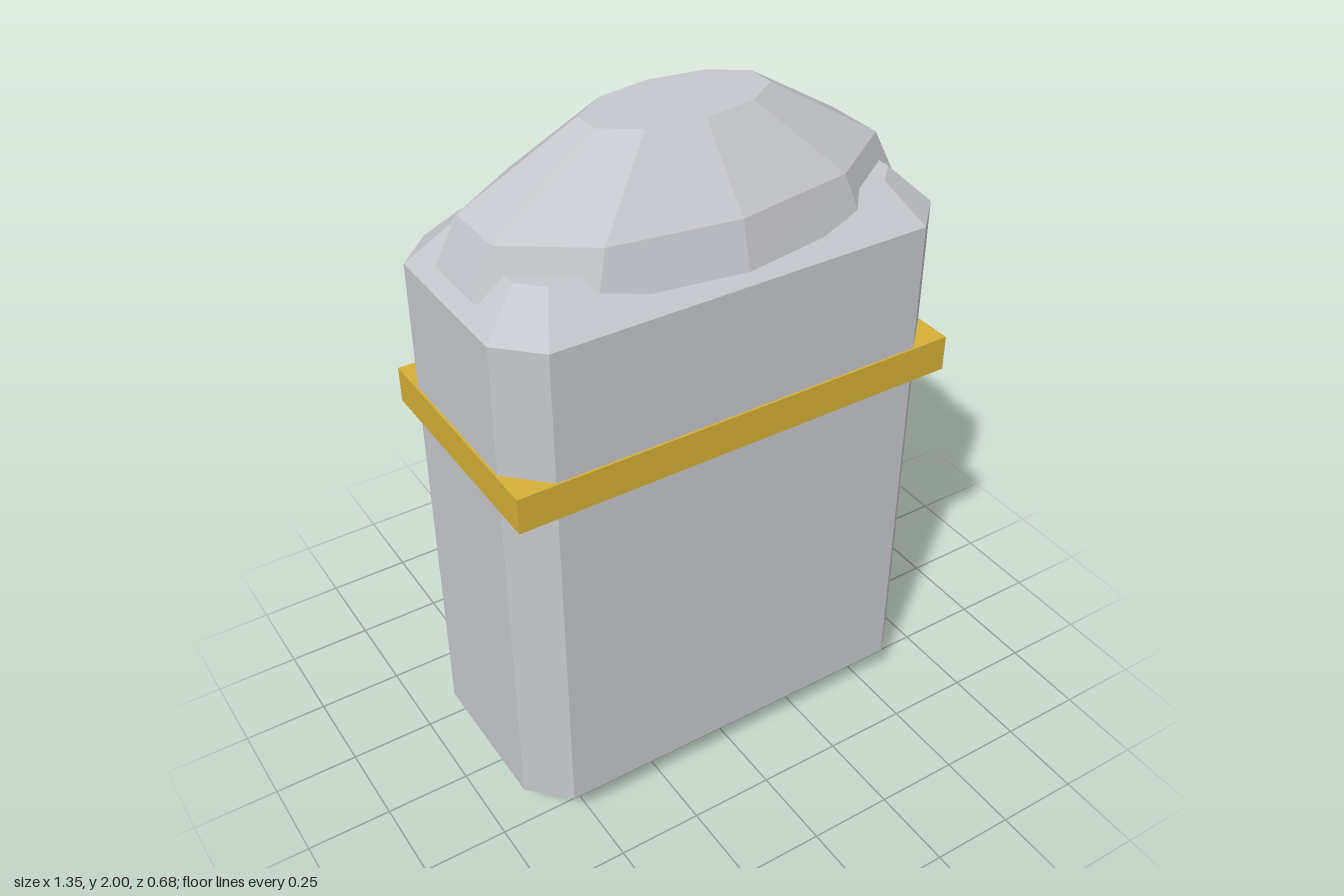
import * as THREE from 'three';

const silver = new THREE.MeshStandardMaterial({ color: 0xc6c7cc, flatShading: true });
silver.name = 'silver';
const gold = new THREE.MeshStandardMaterial({ color: 0xd4af37, flatShading: true });
gold.name = 'gold';

// Closed solid from stacked rings (bottom to top); each ring is a list of [x, y, z]
function loft(rings) {
  const n = rings[0].length;
  const points = rings.flat();
  const index = [];
  for (let r = 0; r < rings.length - 1; r++) {
    for (let i = 0; i < n; i++) {
      const j = (i + 1) % n;
      const a = r * n + i, b = r * n + j;
      index.push(a, a + n, b, b, a + n, b + n);
    }
  }
  const top = (rings.length - 1) * n;
  for (let i = 1; i < n - 1; i++) {
    index.push(0, i, i + 1);
    index.push(top, top + i + 1, top + i);
  }
  const geometry = new THREE.BufferGeometry();
  geometry.setAttribute('position', new THREE.Float32BufferAttribute(points.flat(), 3));
  geometry.setIndex(index);
  const flat = geometry.toNonIndexed();
  flat.computeVertexNormals();
  return flat;
}

// Rectangle with cut corners
function cutRect(y, x, z, cut) {
  return [
    [x, z - cut], [x - cut, z], [cut - x, z], [-x, z - cut],
    [-x, cut - z], [cut - x, -z], [x - cut, -z], [x, cut - z],
  ].map(([px, pz]) => [px, y, pz]);
}

// Ten-sided oval, with flats at the left and right ends
function oval(y, rx, rz) {
  return Array.from({ length: 10 }, (_, i) => {
    const a = Math.PI * (0.1 + i * 0.2);
    return [rx * Math.cos(a), y, rz * Math.sin(a)];
  });
}

export function createModel() {
  const model = new THREE.Group();
  const add = (name, geometry, material) => {
    const mesh = new THREE.Mesh(geometry, material);
    mesh.name = name;
    model.add(mesh);
    return mesh;
  };

  // Chamfered case
  add('body', loft([
    cutRect(0, 0.56, 0.228, 0.062),
    cutRect(0.108, 0.667, 0.334, 0.106),
    cutRect(1.63, 0.667, 0.334, 0.106),
    cutRect(1.737, 0.56, 0.228, 0.062),
  ]), silver);

  // Faceted oval lid
  add('lid', loft([
    oval(1.672, 0.667, 0.334),
    oval(1.803, 0.6, 0.301),
    oval(2, 0.268, 0.135),
  ]), silver);

  // Square-cornered band around the case
  add('band', new THREE.BoxGeometry(1.347, 0.106, 0.681), gold).position.y = 1.202;

  return model;
}
